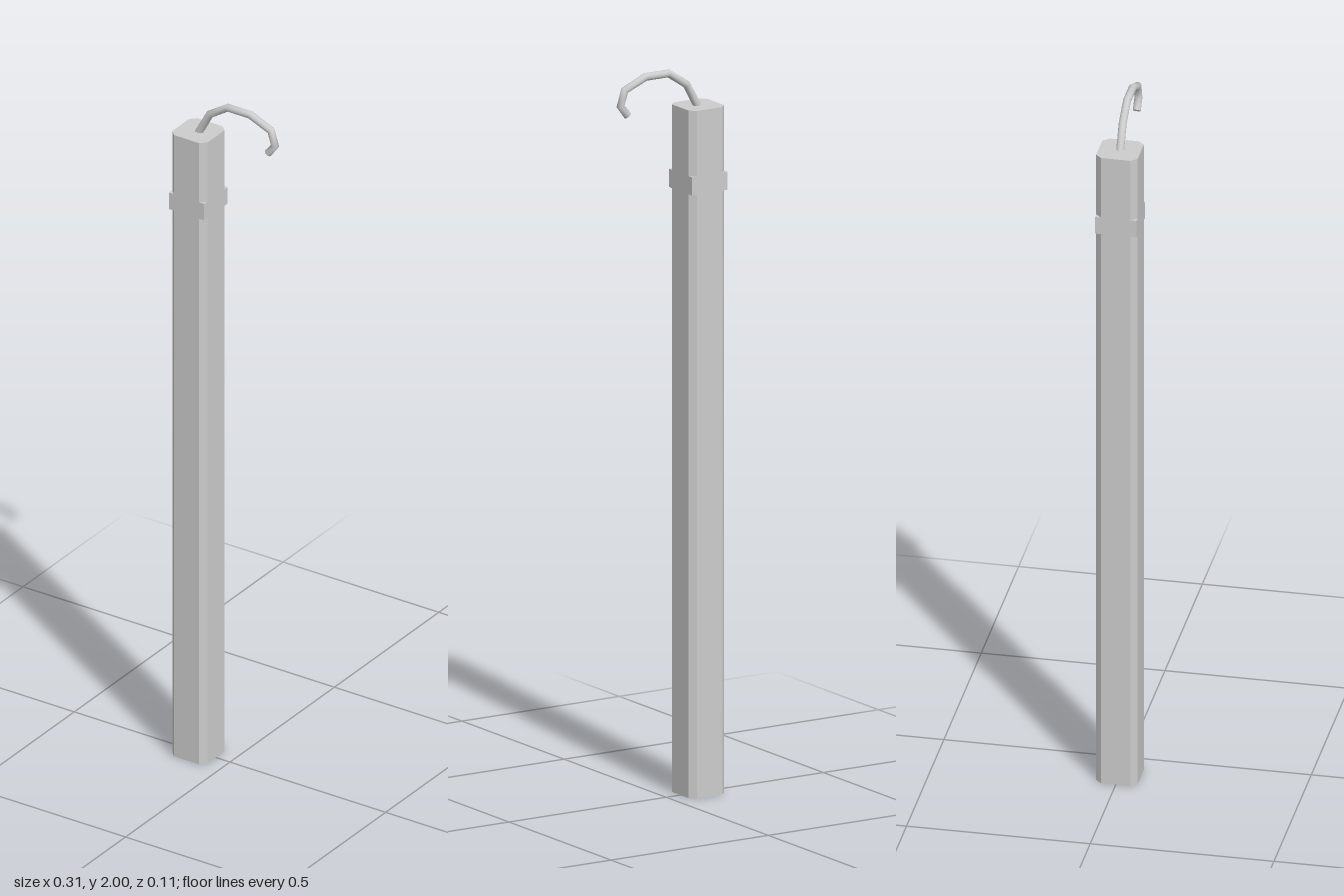
import * as THREE from 'three';

const HALF = 0.0565, CHAMFER = 0.016, POST_X = -0.1015;

// Polyline curve sampled exactly at its corners, with bisecting tangents for mitred bends
class BentPath extends THREE.Curve {
  constructor(points) {
    super();
    this.points = points;
  }
  getPoint(t, target = new THREE.Vector3()) {
    const n = this.points.length - 1;
    const i = Math.min(Math.floor(t * n + 1e-6), n - 1);
    return target.lerpVectors(this.points[i], this.points[i + 1], t * n - i);
  }
  getPointAt(t, target) {
    return this.getPoint(t, target);
  }
  getTangentAt(t, target = new THREE.Vector3()) {
    const p = this.points, n = p.length - 1, i = Math.round(t * n);
    const dir = (a, b) => new THREE.Vector3().subVectors(p[b], p[a]).normalize();
    target.set(0, 0, 0);
    if (i > 0) target.add(dir(i - 1, i));
    if (i < n) target.add(dir(i, i + 1));
    return target.normalize();
  }
}

// Square post section with bevelled corners, running from y0 to y1
function shaftGeometry(y0, y1) {
  const h = HALF, k = HALF - CHAMFER;
  const section = new THREE.Shape([
    [h, -k], [h, k], [k, h], [-k, h], [-h, k], [-h, -k], [-k, -h], [k, -h],
  ].map(([x, y]) => new THREE.Vector2(x, y)));
  return new THREE.ExtrudeGeometry(section, { depth: y1 - y0, bevelEnabled: false })
    .rotateX(-Math.PI / 2)
    .translate(POST_X, y0, 0);
}

export function createModel() {
  const model = new THREE.Group();
  const grey = new THREE.MeshStandardMaterial({ color: 0xcccccc });
  grey.name = 'grey';
  const add = (name, geometry, parent = model) => {
    const mesh = new THREE.Mesh(geometry, grey);
    mesh.name = name;
    parent.add(mesh);
    return mesh;
  };

  // Post: bevelled shafts above and below a square collar
  add('lowerShaft', shaftGeometry(0, 1.66));
  add('collar', new THREE.BoxGeometry(2 * HALF, 0.05, 2 * HALF).translate(POST_X, 1.685, 0));
  add('upperShaft', shaftGeometry(1.71, 1.89));

  // Bent wire hook rising from the top of the post
  const hook = new THREE.Group();
  hook.name = 'hook';
  model.add(hook);
  const path = new BentPath([
    [-0.102, 1.882], [-0.065, 1.951], [-0.007, 1.989], [0.066, 1.989],
    [0.132, 1.961], [0.145, 1.919], [0.123, 1.891],
  ].map(([x, y]) => new THREE.Vector3(x, y, 0)));
  const radius = 0.0108;
  add('hookWire', new THREE.TubeGeometry(path, path.points.length - 1, radius, 16), hook);

  // Flat end of the wire
  const cap = add('hookTip', new THREE.CircleGeometry(radius, 16), hook);
  cap.position.copy(path.getPointAt(1));
  cap.quaternion.setFromUnitVectors(new THREE.Vector3(0, 0, 1), path.getTangentAt(1));

  return model;
}
